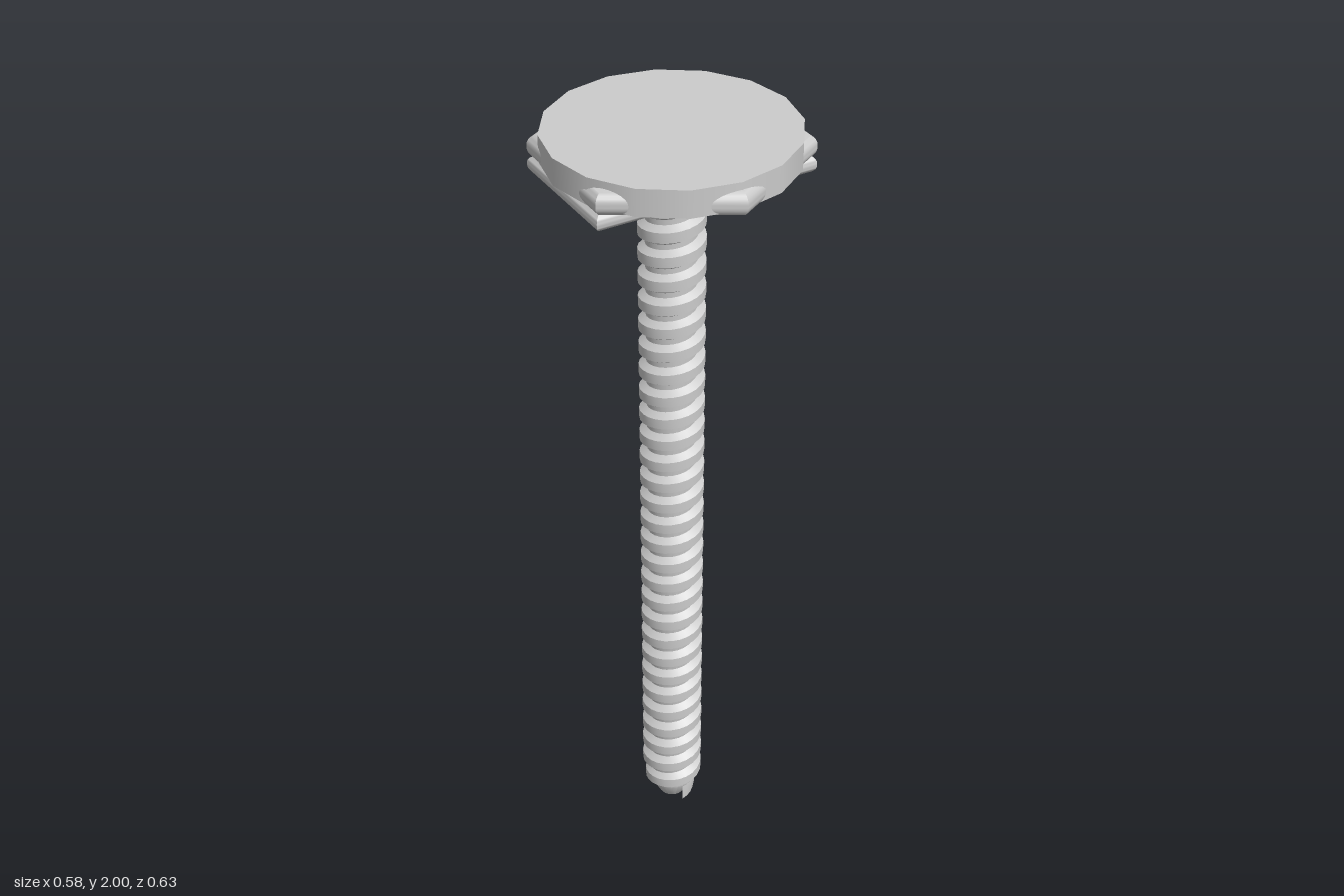
import * as THREE from 'three';
import { toCreasedNormals } from 'three/addons/utils/BufferGeometryUtils.js';

const material = new THREE.MeshStandardMaterial({ color: 0xcccccc, side: THREE.DoubleSide });

function add(group, name, geometry) {
  const mesh = new THREE.Mesh(geometry, material);
  mesh.name = name;
  group.add(mesh);
}

// Flat plate with rounded rim, lying between two heights
function roundedPlate(corners, y0, y1, round) {
  const shape = new THREE.Shape(corners.map(([x, z]) => new THREE.Vector2(x, z)));
  const geometry = new THREE.ExtrudeGeometry(shape, {
    depth: y1 - y0 - 2 * round, bevelThickness: round, bevelSize: round,
    bevelOffset: -round, bevelSegments: 6,
  });
  geometry.rotateX(-Math.PI / 2).translate(0, y0 + round, 0);
  return toCreasedNormals(geometry, 0.6);
}

// Right-handed ridge swept around the core, fading out at both ends
function threadGeometry(y0, y1, pitch, core, crest) {
  const sides = 24;
  const steps = Math.round((y1 - y0) / pitch * sides);
  const profile = [[-0.027, 0], [-0.013, 1], [0.013, 1], [0.027, 0]];
  const positions = [], index = [];
  for (let i = 0; i <= steps; i++) {
    const angle = i / sides * Math.PI * 2;
    const fade = Math.min(1, i / sides, (steps - i) / (sides / 2));
    for (const [dy, h] of profile) {
      const r = core - 0.004 + h * fade * (crest - core + 0.004);
      positions.push(r * Math.sin(angle), y0 + pitch * i / sides + dy, r * Math.cos(angle));
    }
    if (i === steps) continue;
    for (let j = 0; j < 3; j++) {
      const a = i * 4 + j, b = a + 4;
      index.push(a, b, a + 1, b, b + 1, a + 1);
    }
  }
  const geometry = new THREE.BufferGeometry();
  geometry.setAttribute('position', new THREE.Float32BufferAttribute(positions, 3));
  geometry.setIndex(index);
  return toCreasedNormals(geometry, 0.5);
}

export function createModel() {
  const group = new THREE.Group();
  group.name = 'screw';

  // Head: round cap, hexagonal flange, rectangular plate underneath
  const cap = new THREE.CylinderGeometry(0.29, 0.29, 0.065, 16);
  add(group, 'headCap', cap.translate(0, 1.9675, 0));
  const hexagon = Array.from({ length: 6 }, (_, i) => {
    const a = Math.PI / 6 + i * Math.PI / 3;
    return [0.315 * Math.cos(a), 0.315 * Math.sin(a)];
  });
  add(group, 'headFlange', roundedPlate(hexagon, 1.925, 1.983, 0.026));
  const rectangle = [[-0.272, -0.16], [0.272, -0.16], [0.272, 0.16], [-0.272, 0.16]];
  add(group, 'headPlate', roundedPlate(rectangle, 1.89, 1.932, 0.018));

  // Shaft core with blunt pointed tip
  const core = [[0, 0], [0.022, 0.002], [0.034, 0.014], [0.06, 0.065], [0.061, 1.855], [0.07, 1.87], [0.07, 1.9]]
    .map(([x, y]) => new THREE.Vector2(x, y));
  add(group, 'shaftCore', toCreasedNormals(new THREE.LatheGeometry(core, 24), 0.5));
  add(group, 'thread', threadGeometry(0.04, 1.865, 0.062, 0.061, 0.078));
  return group;
}
